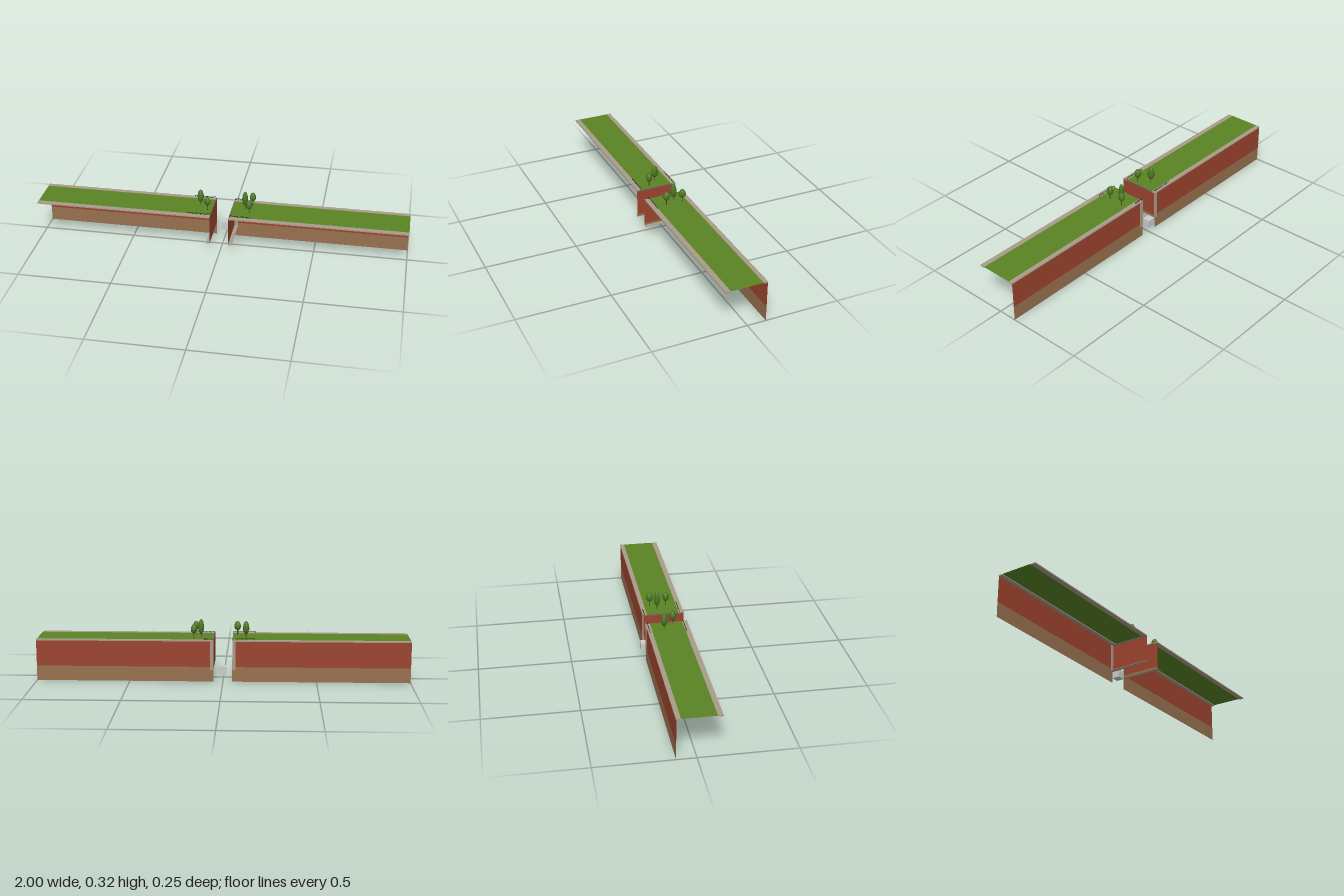
import * as THREE from 'three';

const paint = (color) => new THREE.MeshStandardMaterial({ color, side: THREE.DoubleSide });
const BRICK = paint(0x9c432d), BASE = paint(0x97704f), GRASS = paint(0x5a8424), STONE = paint(0xa89b88);
const EDGE = paint(0x6b6a5e), IRON = paint(0x2b2b28), LEAF = paint(0x4a7520), BARK = paint(0x5a3d26);
const GREY = new THREE.MeshStandardMaterial({ color: 0xcccccc });

const IN = 0.05, OUT = 1, MID = (IN + OUT) / 2, LEN = OUT - IN;
const TOP = 0.225, BACK = -0.1, FRONT = 0.123, DEPTH = FRONT - BACK, ZMID = (FRONT + BACK) / 2;

function add(parent, name, geometry, material, x, y, z) {
  const mesh = new THREE.Mesh(geometry, material);
  mesh.name = name;
  mesh.position.set(x, y, z);
  parent.add(mesh);
  return mesh;
}
const box = (parent, name, mat, w, h, d, x, y, z) =>
  add(parent, name, new THREE.BoxGeometry(w, h, d), mat, x, y, z);

// Upright sheet, facing the back or sideways
function sheet(parent, name, mat, width, y0, y1, x, z, turn) {
  add(parent, name, new THREE.PlaneGeometry(width, y1 - y0), mat, x, (y0 + y1) / 2, z).rotation.y = turn;
}

// Low railing: posts with two rails
function railing(parent, x0, x1, z) {
  const group = new THREE.Group();
  group.name = 'railing';
  const count = 6, length = Math.abs(x1 - x0);
  for (let i = 0; i < count; i++) {
    const x = x0 + ((x1 - x0) * i) / (count - 1);
    add(group, 'railingPost', new THREE.CylinderGeometry(0.0011, 0.0011, 0.011, 6), IRON, x, TOP + 0.0045, z);
  }
  for (const y of [0.005, 0.0095]) {
    box(group, 'railingRail', IRON, length, 0.0012, 0.0012, (x0 + x1) / 2, TOP + y, z);
  }
  parent.add(group);
}

// Tree: leaning trunk, two side branches and an egg-shaped crown
function tree(parent, x, z, low, high, radius) {
  const group = new THREE.Group();
  group.name = 'tree';
  group.position.set(x, TOP - 0.002, z);
  const base = low - TOP, height = high - low;
  const limb = (name, points, r) => add(group, name, new THREE.TubeGeometry(
    new THREE.CatmullRomCurve3(points.map((p) => new THREE.Vector3(...p))), 6, r, 6), BARK, 0, 0, 0);
  limb('trunk', [[0, 0, 0], [0.001, base * 0.6, 0.001], [0, base + height * 0.4, 0]], 0.0018);
  for (const s of [-1, 1]) {
    limb('branch', [[0, base * 0.7, 0], [s * 0.004, base + 0.003, s * 0.003], [s * 0.007, base + 0.012, s * 0.005]], 0.0009);
  }
  const profile = [[0, 0], [0.5, 0.05], [0.85, 0.2], [1, 0.4], [0.95, 0.58], [0.74, 0.78], [0.42, 0.94], [0, 1]];
  const curve = new THREE.SplineCurve(profile.map(([r, t]) => new THREE.Vector2(r * radius, t * height)));
  const points = curve.getPoints(16).map((p) => p.setX(Math.max(p.x, 0)));
  const crown = add(group, 'crown', new THREE.LatheGeometry(points, 18), LEAF, 0, base + 0.002, 0);
  crown.scale.z = 0.88;
  crown.rotation.y = x * 9;
  parent.add(group);
}

// One bank: lawn, kerbs, back wall and inner end wall
function bank(side) {
  const group = new THREE.Group();
  group.name = side > 0 ? 'leftBank' : 'rightBank';
  const cx = side * MID, half = Math.PI / 2;

  add(group, 'lawn', new THREE.PlaneGeometry(LEN, 0.18), GRASS, cx, TOP - 0.001, 0.0075).rotation.x = -half;
  box(group, 'frontKerb', STONE, LEN, 0.006, 0.027, cx, TOP - 0.003, FRONT - 0.0135);
  box(group, 'backKerb', STONE, LEN, 0.006, 0.024, cx, TOP - 0.003, BACK + 0.01);

  sheet(group, 'backWall', BRICK, LEN, 0.08, TOP - 0.003, cx, BACK, Math.PI);
  sheet(group, 'backWallBase', BASE, LEN, 0, 0.08, cx, BACK, Math.PI);
  sheet(group, 'endWall', BRICK, DEPTH, 0.078, TOP - 0.007, side * IN, ZMID, -side * half);
  sheet(group, 'endWallBase', BASE, DEPTH, 0.064, 0.078, side * IN, ZMID, -side * half);

  // Edge trims around the inner end
  box(group, 'endCoping', EDGE, 0.004, 0.007, DEPTH, side * (IN + 0.002), TOP - 0.0035, ZMID);
  box(group, 'cornerPillar', STONE, 0.018, TOP - 0.064, 0.006, side * (IN + 0.009), (TOP + 0.064) / 2, BACK);
  box(group, 'footLedge', STONE, 0.02, 0.002, DEPTH, side * (IN + 0.01), 0.065, ZMID);

  railing(group, side * (IN + 0.003), side * 0.17, 0.1);
  railing(group, side * (IN + 0.003), side * (side > 0 ? 0.1 : 0.17), -0.093);
  return group;
}

export function createModel() {
  const model = new THREE.Group();
  model.name = 'canalBanks';
  for (const side of [-1, 1]) model.add(bank(side));

  // x, z, crown bottom, crown top, crown radius
  for (const t of [
    [-0.122, -0.012, 0.243, 0.315, 0.019],
    [-0.075, 0.042, 0.253, 0.303, 0.019],
    [0.12, -0.013, 0.243, 0.325, 0.017],
    [0.157, -0.048, 0.253, 0.303, 0.019],
    [0.15, 0.04, 0.253, 0.303, 0.019],
  ]) tree(model, ...t);

  box(model, 'gapBlock', GREY, 0.043, 0.044, 0.043, 0, 0.065, -0.1005);
  return model;
}
